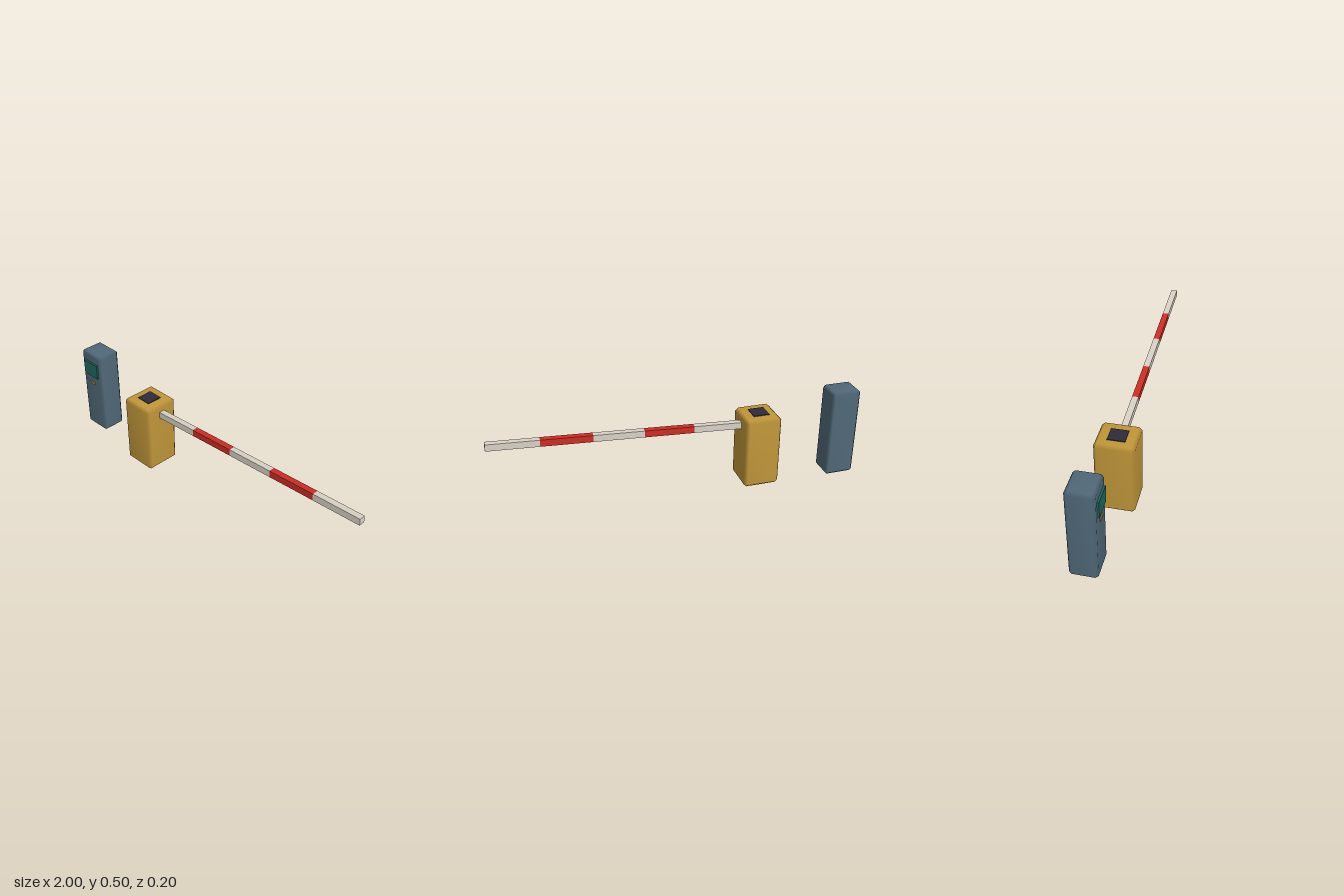
import * as THREE from 'three';
import { mergeVertices } from 'three/addons/utils/BufferGeometryUtils.js';
import { ConvexGeometry } from 'three/addons/geometries/ConvexGeometry.js';

const material = (name, color) => {
  const m = new THREE.MeshStandardMaterial({ color });
  m.name = name;
  return m;
};

// Box with 45 degree chamfers and softly shaded edges
function chamferedBox(w, h, d, c) {
  const points = [];
  for (const x of [-1, 1]) for (const y of [-1, 1]) for (const z of [-1, 1]) {
    for (let axis = 0; axis < 3; axis++) {
      const inset = [c, c, c];
      inset[axis] = 0;
      points.push(new THREE.Vector3(
        x * (w / 2 - inset[0]), y * (h / 2 - inset[1]), z * (d / 2 - inset[2])));
    }
  }
  const geometry = new ConvexGeometry(points);
  geometry.deleteAttribute('normal');
  const merged = mergeVertices(geometry, 1e-5);
  merged.computeVertexNormals();
  return merged;
}

export function createModel() {
  const yellow = material('ochre yellow', 0xc0963a);
  const blue = material('slate blue', 0x506878);
  const white = material('off white', 0xd9d1c5);
  const red = material('signal red', 0xcb2e26);
  const green = material('screen green', 0x22665a);
  const dark = material('dark plate', 0x2f2b38);

  const model = new THREE.Group();
  model.name = 'parkingBarrier';
  const add = (parent, name, geometry, mat, x, y, z) => {
    const mesh = new THREE.Mesh(geometry, mat);
    mesh.name = name;
    mesh.position.set(x, y, z);
    parent.add(mesh);
    return mesh;
  };

  // Ticket kiosk
  const kiosk = new THREE.Group();
  kiosk.name = 'ticketKiosk';
  model.add(kiosk);
  add(kiosk, 'kioskBody', chamferedBox(0.165, 0.504, 0.14, 0.014), blue, -0.9175, 0.252, -0.032);
  add(kiosk, 'kioskScreen', new THREE.BoxGeometry(0.115, 0.088, 0.014), green, -0.9145, 0.406, 0.041);
  add(kiosk, 'ticketSlot', new THREE.BoxGeometry(0.04, 0.014, 0.01), yellow, -0.914, 0.312, 0.038);

  // Barrier motor cabinet
  const cabinet = new THREE.Group();
  cabinet.name = 'barrierCabinet';
  model.add(cabinet);
  add(cabinet, 'cabinetBody', chamferedBox(0.199, 0.404, 0.203, 0.016), yellow, -0.4465, 0.202, 0.001);
  add(cabinet, 'topPlate', new THREE.BoxGeometry(0.088, 0.008, 0.09), dark, -0.449, 0.404, 0.001);

  // Tilted striped arm, alternating white and red
  const arm = new THREE.Group();
  arm.name = 'barrierArm';
  arm.position.set(-0.352, 0.345, 0.002);
  arm.rotation.z = 0.057;
  model.add(arm);
  const count = 5, length = 1.353 / count;
  for (let i = 0; i < count; i++) {
    add(arm, `armSegment${i + 1}`, new THREE.BoxGeometry(length, 0.037, 0.034),
      i % 2 ? red : white, (i + 0.5) * length, 0, 0);
  }
  return model;
}
